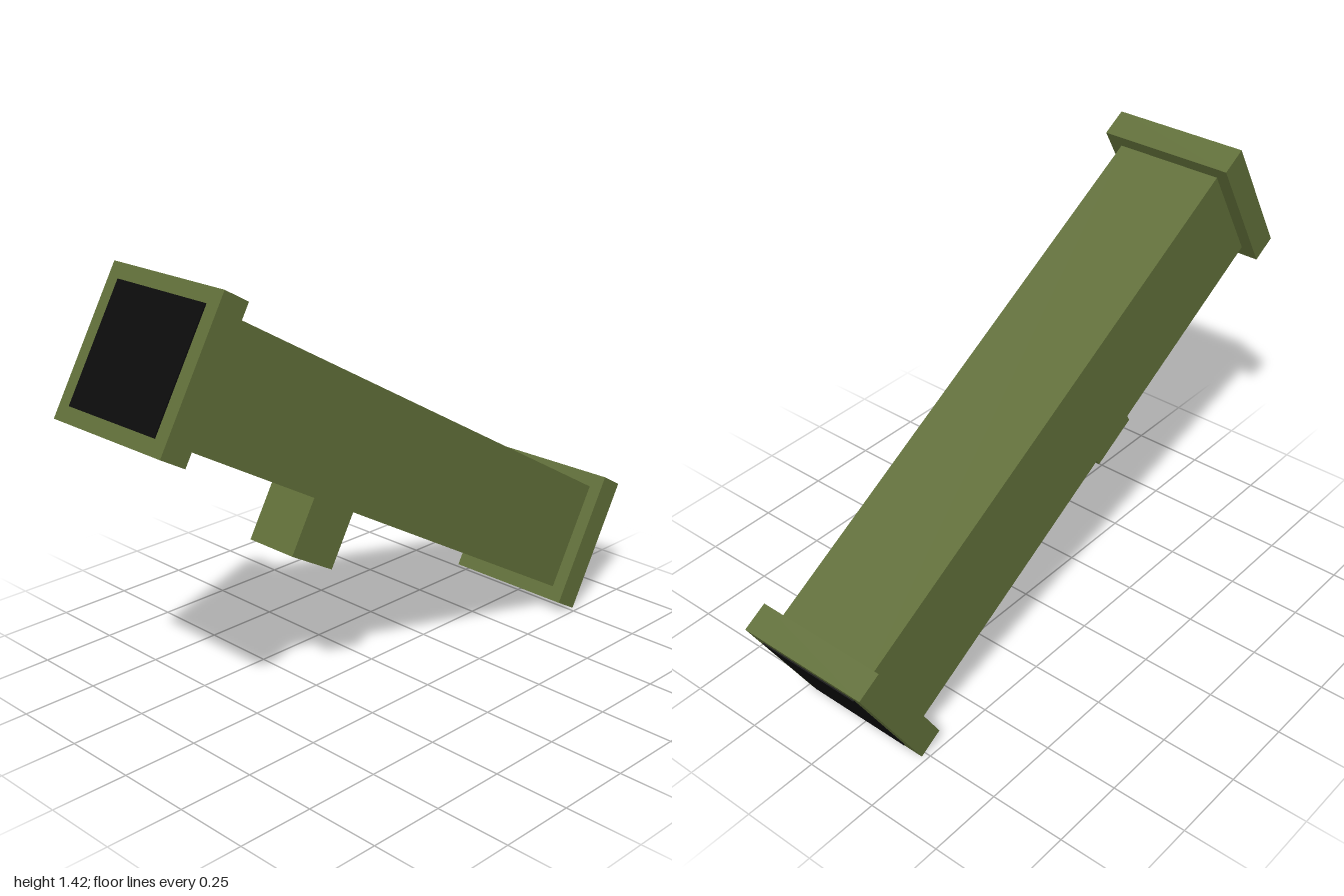
import * as THREE from 'three';

const U = 0.0928; // module size: every part is a whole or half multiple

export function createModel() {
  const model = new THREE.Group();
  model.name = 'tiltedTube';

  const olive = new THREE.MeshStandardMaterial({ color: 0x5f6d38 });
  olive.name = 'olive';
  const black = new THREE.MeshStandardMaterial({ color: 0x0a0a0a });
  black.name = 'black';

  // Everything is built along x, then tilted down towards +x
  const tube = new THREE.Group();
  tube.name = 'tube';
  tube.position.y = 0.711;
  tube.rotation.z = -Math.PI / 6;
  model.add(tube);

  const box = (name, material, size, position) => {
    const mesh = new THREE.Mesh(new THREE.BoxGeometry(...size), material);
    mesh.name = name;
    mesh.position.set(...position);
    tube.add(mesh);
  };

  // Square barrel, stopping inside the collars
  box('barrel', olive, [21 * U, 4 * U, 4 * U], [0, 0, 0]);

  // Collar and dark opening at each end
  for (const [side, s] of [['left', 1], ['right', -1]]) {
    box(side + 'Collar', olive, [U, 5 * U, 5 * U], [s * 10.5 * U, 0, 0]);
    box(side + 'Opening', black, [0.008, 4 * U, 4 * U], [s * 11 * U, 0, 0]);
  }

  // Grip block under the barrel
  box('grip', olive, [2 * U, 2 * U, 2 * U], [-2 * U, -3 * U, 0]);

  return model;
}
